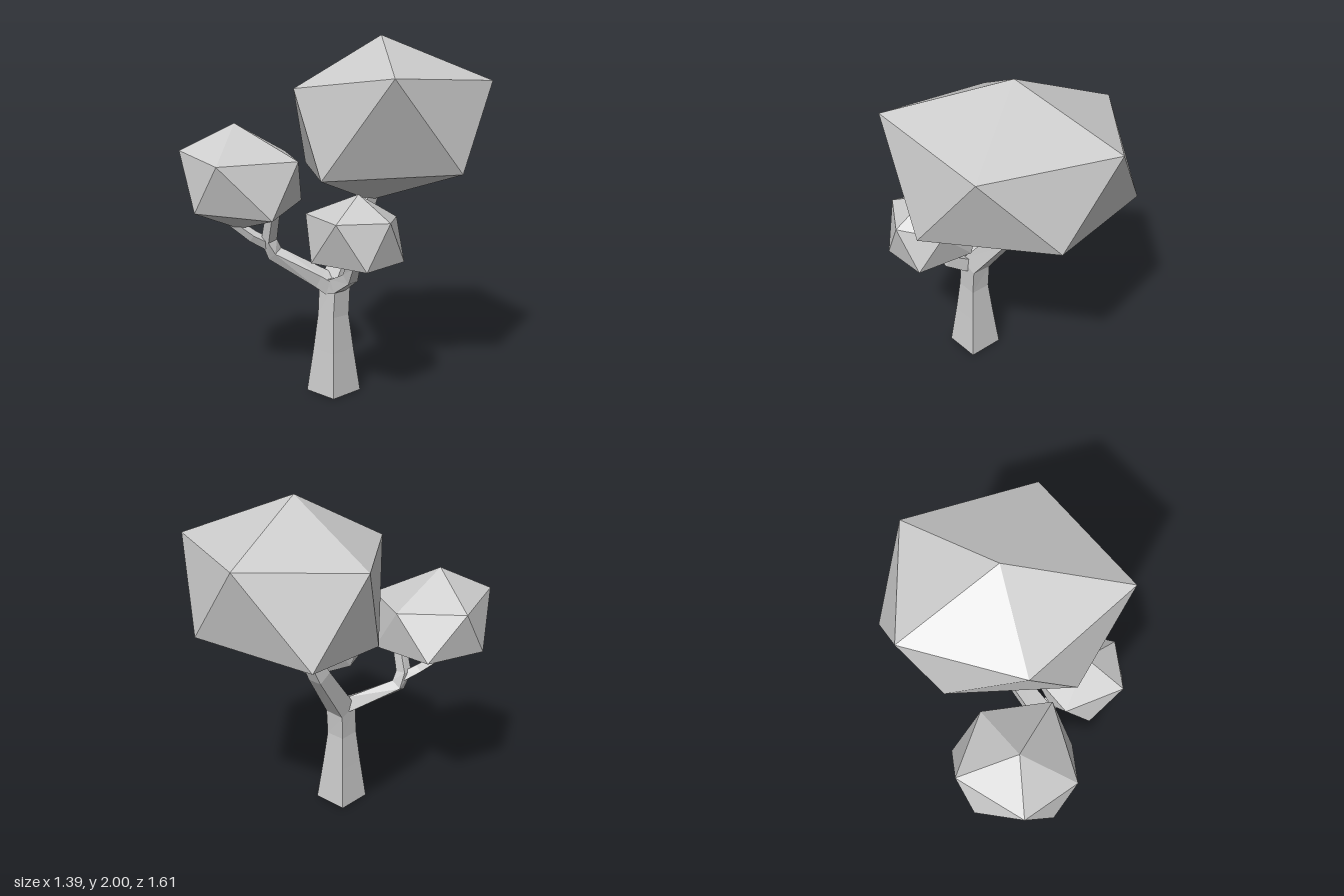
import * as THREE from 'three';
import { ConvexGeometry } from 'three/addons/geometries/ConvexGeometry.js';

const material = new THREE.MeshStandardMaterial({ color: 0xcccccc, flatShading: true });

// Square limb swept along [x, y, z, halfWidth] stations; ref sets the roll of the section
function limb(name, stations, ref) {
  const pts = stations.map(([x, y, z]) => new THREE.Vector3(x, y, z));
  const last = pts.length - 1;
  const pos = [], idx = [];
  pts.forEach((p, i) => {
    const t = new THREE.Vector3();
    if (i > 0) t.add(p.clone().sub(pts[i - 1]).normalize());
    if (i < last) t.add(pts[i + 1].clone().sub(p).normalize());
    t.normalize();
    const u = ref.clone().addScaledVector(t, -ref.dot(t)).normalize();
    const v = t.clone().cross(u);
    const h = stations[i][3];
    for (const [a, b] of [[1, 1], [-1, 1], [-1, -1], [1, -1]]) {
      pos.push(...p.clone().addScaledVector(u, a * h).addScaledVector(v, b * h).toArray());
    }
    if (i === last) return;
    for (let k = 0; k < 4; k++) {
      const a = i * 4 + k, b = i * 4 + (k + 1) % 4;
      idx.push(a, b, b + 4, a, b + 4, a + 4);
    }
  });
  const e = last * 4;
  idx.push(0, 2, 1, 0, 3, 2, e, e + 1, e + 2, e, e + 2, e + 3);
  const indexed = new THREE.BufferGeometry();
  indexed.setAttribute('position', new THREE.Float32BufferAttribute(pos, 3));
  indexed.setIndex(idx);
  const geo = indexed.toNonIndexed();
  geo.computeVertexNormals();
  const mesh = new THREE.Mesh(geo, material);
  mesh.name = name;
  return mesh;
}

// Faceted twenty-sided crown: top, five upper corners, five lower corners, bottom
function crown(name, top, upper, lower, bottom) {
  const pts = [top, ...upper, ...lower, bottom].map((p) => new THREE.Vector3(...p));
  const mesh = new THREE.Mesh(new ConvexGeometry(pts), material);
  mesh.name = name;
  return mesh;
}

export function createModel() {
  const tree = new THREE.Group();
  tree.name = 'tree';
  const X = new THREE.Vector3(1, 0, 0);
  const Z = new THREE.Vector3(0, 0, 1);

  // Flared trunk that bends backwards into the large crown
  tree.add(limb('trunk', [
    [0.052, 0, 0.178, 0.107], [0.052, 0.25, 0.178, 0.08], [0.052, 0.45, 0.178, 0.061],
    [0.05, 0.62, 0.165, 0.062], [0.0, 0.93, -0.075, 0.046], [0.01, 1.07, -0.145, 0.04],
    [0.02, 1.2, -0.2, 0.036],
  ], X));

  // Forked branch to the medium crown
  tree.add(limb('rightBranch', [
    [0.06, 0.62, 0.19, 0.045], [0.0, 0.655, 0.22, 0.042], [-0.22, 0.79, 0.37, 0.034],
    [-0.235, 0.87, 0.4, 0.032], [-0.18, 1.02, 0.42, 0.028], [-0.17, 1.1, 0.42, 0.025],
  ], Z));
  tree.add(limb('rightTwig', [
    [-0.235, 0.84, 0.39, 0.026], [-0.3, 0.89, 0.46, 0.024], [-0.4, 0.98, 0.54, 0.02],
  ], Z));

  // Short branch to the small crown
  tree.add(limb('leftBranch', [
    [0.04, 0.62, 0.19, 0.042], [0.11, 0.635, 0.2, 0.04], [0.225, 0.7, 0.22, 0.032],
    [0.28, 0.79, 0.25, 0.026], [0.3, 0.86, 0.26, 0.024],
  ], Z));

  tree.add(crown('largeCrown', [0.07, 2, -0.19],
    [[-0.54, 1.73, -0.28], [-0.14, 1.715, 0.29], [0.585, 1.8, 0.27], [0.605, 1.755, -0.52], [-0.1, 1.765, -0.805]],
    [[0.695, 1.28, -0.155], [0.15, 1.24, 0.365], [-0.43, 1.24, -0.07 + 0.0], [-0.46, 1.27, -0.61], [0.25, 1.31, -0.76]]
      .map((p, i) => (i === 2 ? [-0.43, 1.24, -0.07] : p)),
    [0.01, 1.055, -0.165]));

  tree.add(crown('mediumCrown', [-0.385, 1.525, 0.51],
    [[-0.03, 1.33, 0.36], [-0.215, 1.325, 0.78], [-0.56, 1.38, 0.76], [-0.69, 1.36, 0.36], [-0.36, 1.34, 0.16]],
    [[-0.7, 1.1, 0.515], [-0.385, 1.055, 0.8], [-0.035, 1.025, 0.55], [-0.18, 1.08, 0.2], [-0.58, 1.1, 0.17]],
    [-0.37, 0.93, 0.5]));

  tree.add(crown('smallCrown', [0.315, 1.18, 0.25],
    [[0.39, 1.06, 0.495], [0.055, 1.06, 0.39], [0.06, 1.05, 0.1], [0.39, 1.04, 0.03], [0.545, 1.055, 0.25]],
    [[0.18, 0.82, 0.47], [0.51, 0.81, 0.39], [0.51, 0.82, 0.1], [0.18, 0.83, 0.04], [0.06, 0.86, 0.26]],
    [0.275, 0.76, 0.26]));

  return tree;
}
